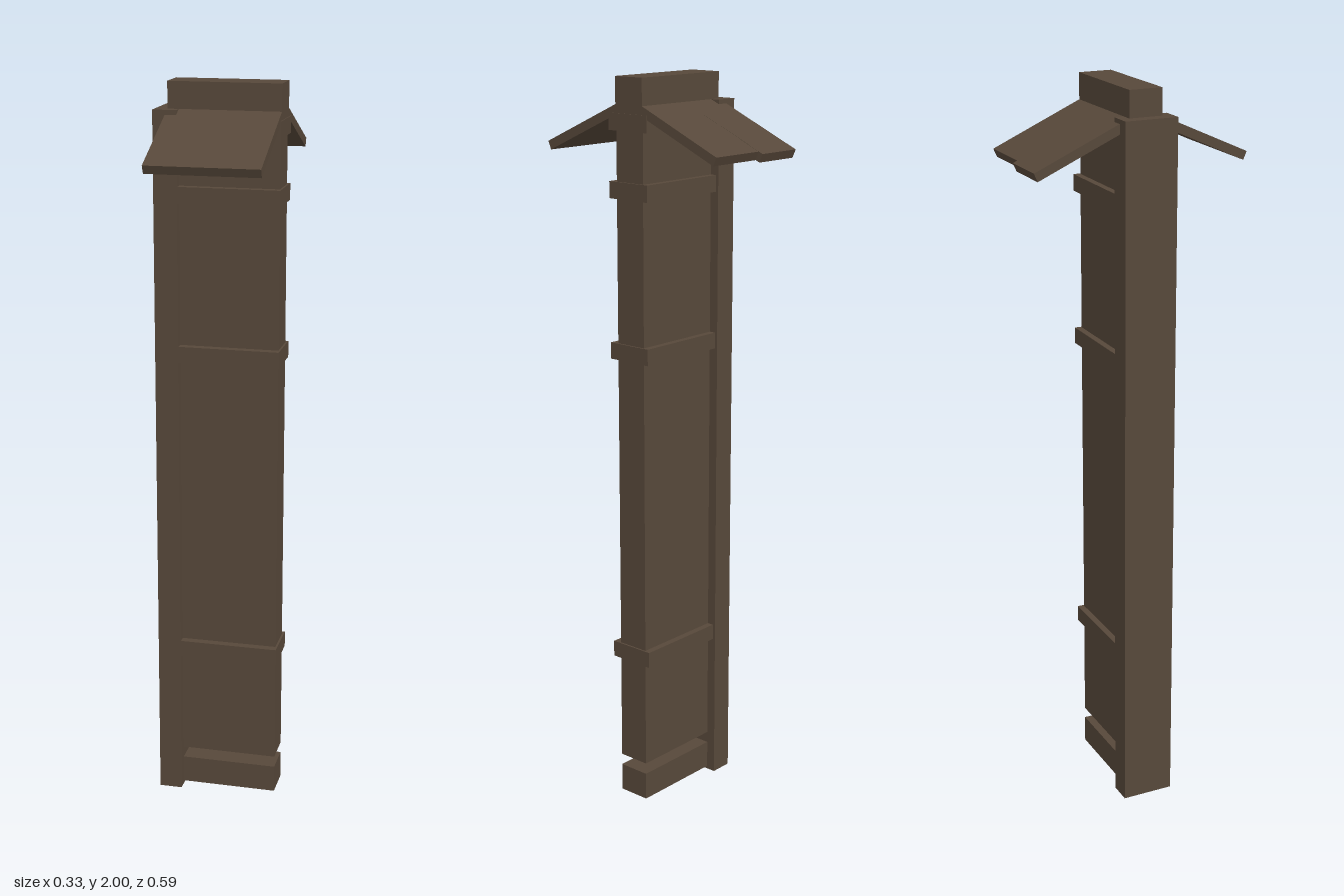
import * as THREE from 'three';

export function createModel() {
  const group = new THREE.Group();
  const wood = new THREE.MeshStandardMaterial({ color: 0x57483a });
  wood.name = 'dark wood';

  // box given by its limits on each axis
  function box(name, x0, x1, y0, y1, z0, z1) {
    const geo = new THREE.BoxGeometry(x1 - x0, y1 - y0, z1 - z0);
    geo.translate((x0 + x1) / 2, (y0 + y1) / 2, (z0 + z1) / 2);
    const mesh = new THREE.Mesh(geo, wood);
    mesh.name = name;
    group.add(mesh);
  }

  // sloping slab: (z, y) profile running from the ridge down to the eave
  function roofSlab(name, x0, x1, zRidge, zEave, yEave) {
    const yRidge = 1.93, t = 0.024;
    const side = Math.sign(zEave - zRidge);
    const run = Math.abs(zEave - zRidge), drop = yRidge - yEave;
    const len = Math.hypot(run, drop);
    const dz = -side * t * drop / len, dy = -t * run / len;
    const shape = new THREE.Shape([
      new THREE.Vector2(-zRidge, yRidge),
      new THREE.Vector2(-zEave, yEave),
      new THREE.Vector2(-zEave - dz, yEave + dy),
      new THREE.Vector2(-zRidge - dz, yRidge + dy),
    ]);
    const geo = new THREE.ExtrudeGeometry(shape, { depth: x1 - x0, bevelEnabled: false });
    geo.rotateY(Math.PI / 2);
    geo.translate(x0, 0, 0);
    const mesh = new THREE.Mesh(geo, wood);
    mesh.name = name;
    group.add(mesh);
  }

  // upright, wall panel and sill
  box('post', -0.168, -0.105, 0, 1.93, -0.066, 0.079);
  box('panel', -0.106, 0.161, 0.117, 1.905, -0.04, 0.051);
  box('sill', -0.106, 0.161, 0.008, 0.085, -0.04, 0.051);

  // horizontal rails wrapping the panel
  for (const y of [0.414, 1.265, 1.69, 1.864]) {
    box('rail', -0.106, 0.166, y, y + 0.044, -0.058, 0.073);
  }

  // ridge beam and roof, the rear slope in two boards
  box('ridgeBeam', -0.135, 0.164, 1.9, 2, -0.04, 0.051);
  roofSlab('frontRoof', -0.135, 0.164, 0.051, 0.295, 1.82);
  roofSlab('backRoofRight', -0.135, 0, -0.04, -0.297, 1.817);
  roofSlab('backRoofLeft', 0, 0.164, -0.04, -0.284, 1.822);

  return group;
}
